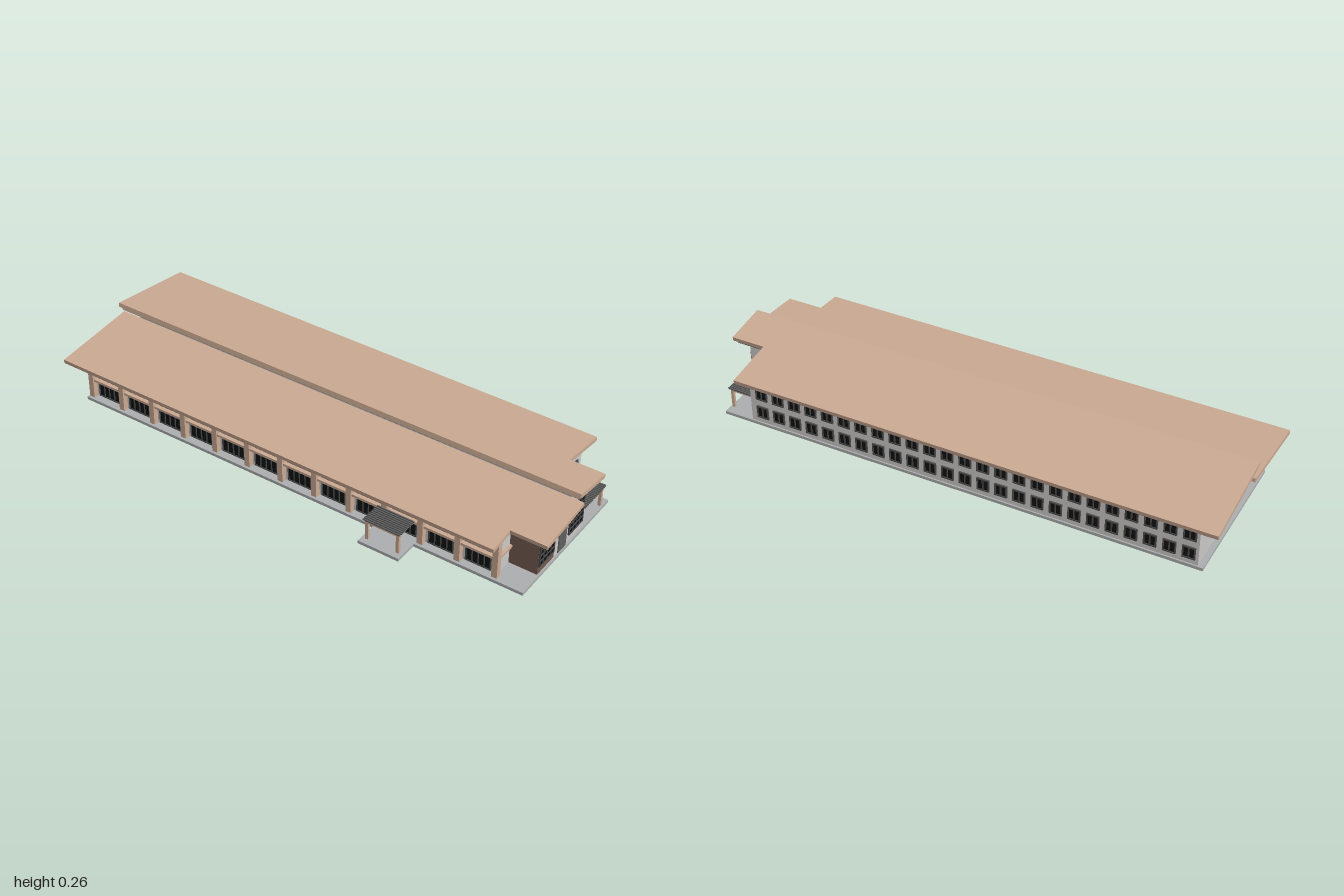
import * as THREE from 'three';

const mat = (name, color) => {
  const m = new THREE.MeshStandardMaterial({ color });
  m.name = name;
  return m;
};

export function createModel() {
  const root = new THREE.Group();
  root.name = 'longBuilding';
  const tan = mat('tan', 0xcbaa93);
  const wall = mat('paleGreyWall', 0xcccac8);
  const brown = mat('brown', 0x755a50);
  const dark = mat('darkGrey', 0x606060);
  const stone = mat('stoneGrey', 0xacaeaf);
  const glass = mat('blackGlass', 0x111213);
  const frameMat = mat('frameGrey', 0x4c4c4c);

  const add = (name, geo, m, parent = root) => {
    const mesh = new THREE.Mesh(geo, m);
    mesh.name = name;
    parent.add(mesh);
    return mesh;
  };
  // box given by its minimum and maximum on each axis
  const box = (name, m, x0, x1, y0, y1, z0, z1, parent = root) => {
    const b = add(name, new THREE.BoxGeometry(x1 - x0, y1 - y0, z1 - z0), m, parent);
    b.position.set((x0 + x1) / 2, (y0 + y1) / 2, (z0 + z1) / 2);
    return b;
  };
  // front-facing outline extruded from z0 to z1
  const prism = (name, m, pts, z0, z1) => {
    const shape = new THREE.Shape(pts.map(p => new THREE.Vector2(p[0], p[1])));
    const g = new THREE.ExtrudeGeometry(shape, { depth: z1 - z0, bevelEnabled: false });
    g.translate(0, 0, z0);
    return add(name, g, m);
  };

  // undersides of the two roofs
  const leftTop = x => 0.187 + 0.084 * (x - 0.018);
  const rightTop = x => 0.233 - 0.125 * (x - 0.008);
  const walled = (name, m, x0, x1, z0, z1, top) =>
    prism(name, m, [[x0, 0.012], [x1, 0.012], [x1, top(x1)], [x0, top(x0)]], z0, z1);

  // plinth and side porch floor
  box('plinth', stone, -0.275, 0.314, 0, 0.012, -0.94, 0.957);
  box('porchFloor', stone, -0.37, -0.275, 0, 0.012, 0.365, 0.53);

  // main walls and front blocks
  walled('leftWing', wall, -0.243, 0.03, -0.92, 0.84, leftTop);
  walled('rightWing', wall, 0.03, 0.308, -0.92, 0.84, rightTop);
  walled('brownFrontBlock', brown, -0.17, -0.06, 0.84, 0.95, leftTop);
  walled('entranceBlock', wall, -0.06, 0.03, 0.84, 0.95, leftTop);
  walled('entrancePanel', dark, -0.035, 0.018, 0.95, 0.953, leftTop);
  walled('rightFrontBlock', wall, 0.03, 0.135, 0.84, 0.95, rightTop);

  // sloping slab, its top edge running from (x0, y0) to (x1, y1)
  const slab = (name, m, x0, y0, x1, y1, t, z0, z1) => {
    const len = Math.hypot(x1 - x0, y1 - y0);
    const nx = (y1 - y0) / len * t, ny = -(x1 - x0) / len * t;
    prism(name, m, [[x0, y0], [x0 + nx, y0 + ny], [x1 + nx, y1 + ny], [x1, y1]], z0, z1);
  };
  // layered roof: cap, inset fascia and grey soffit, with a narrower front part
  const roof = (name, layers) => {
    for (const [part, m, x0, y0, x1, y1, t, inset, notch, cutZ, leftCut] of layers) {
      const yN = y0 + (y1 - y0) * (notch - x0) / (x1 - x0);
      slab(name + part, m, x0, y0, x1, y1, t, -1 + inset, cutZ - inset);
      if (leftCut) slab(name + part + 'Front', m, notch, yN, x1, y1, t, cutZ - inset, 1 - inset);
      else slab(name + part + 'Front', m, x0, y0, notch, yN, t, cutZ - inset, 1 - inset);
    }
  };
  roof('rightRoof', [
    ['Cap', tan, 0.002, 0.264, 0.367, 0.215, 0.016, 0, 0.17, 0.865, false],
    ['Fascia', tan, 0.009, 0.247, 0.354, 0.201, 0.011, 0.012, 0.158, 0.865, false],
    ['Soffit', dark, 0.009, 0.236, 0.353, 0.190, 0.002, 0.0125, 0.158, 0.865, false],
  ]);
  roof('leftRoof', [
    ['Cap', tan, -0.318, 0.181, 0.029, 0.212, 0.0155, 0, -0.213, 0.86, true],
    ['Fascia', tan, -0.306, 0.1665, 0.018, 0.1955, 0.0065, 0.012, -0.201, 0.86, true],
    ['Soffit', dark, -0.3055, 0.160, 0.018, 0.189, 0.002, 0.0125, -0.201, 0.86, true],
  ]);

  // window: a frame with pane openings over a glass sheet, facing local +z
  const rect = (P, x, y, w, h) => {
    const p = new P();
    p.moveTo(x, y).lineTo(x + w, y).lineTo(x + w, y + h).lineTo(x, y + h).closePath();
    return p;
  };
  const makeWindow = (name, w, h, cols, rows, bar, x, y, z, turn = 0) => {
    const g = new THREE.Group();
    g.name = name;
    const s = rect(THREE.Shape, -w / 2, -h / 2, w, h);
    const pw = (w - bar * (cols + 1)) / cols, ph = (h - bar * (rows + 1)) / rows;
    for (let i = 0; i < cols; i++)
      for (let j = 0; j < rows; j++)
        s.holes.push(rect(THREE.Path, -w / 2 + bar + i * (pw + bar), -h / 2 + bar + j * (ph + bar), pw, ph));
    add('frame', new THREE.ExtrudeGeometry(s, { depth: 0.006, bevelEnabled: false }), frameMat, g);
    box('glass', glass, -w / 2 + 0.001, w / 2 - 0.001, -h / 2 + 0.001, h / 2 - 0.001, 0, 0.003, g);
    g.position.set(x, y, z);
    g.rotation.y = turn;
    root.add(g);
  };

  // front windows
  makeWindow('leftFrontWindow', 0.1, 0.12, 4, 5, 0.003, -0.118, 0.104, 0.95);
  makeWindow('rightFrontWindow', 0.097, 0.12, 4, 5, 0.003, 0.08, 0.104, 0.95);
  for (const x of [0.171, 0.218, 0.264])
    makeWindow('smallFrontWindow', 0.026, 0.051, 1, 1, 0.003, x, 0.138, 0.84);

  // window rows on the +x side
  for (let i = 0; i < 25; i++)
    for (const y of [0.059, 0.138])
      makeWindow('sideWindow', 0.048, 0.05, 2, 1, 0.005, 0.308, y, 0.79 - i * 0.0698, Math.PI / 2);

  // columns, floor beam and bay windows on the -x side
  const bays = 12, zBack = -0.924, pitch = (0.84 - zBack) / bays;
  for (let i = 0; i <= bays; i++) {
    const z = zBack + i * pitch;
    walled('sideColumn', tan, -0.265, -0.243, z - 0.011, z + 0.011, leftTop);
    if (i === bays) continue;
    for (const y of [0.048, 0.128])
      makeWindow('bayWindow', 0.1, 0.06, 4, 1, 0.004, -0.243, y, z + pitch / 2, -Math.PI / 2);
  }
  box('sideFloorBeam', tan, -0.26, -0.243, 0.083, 0.093, zBack, 0.84);
  box('frontFloorBeam', tan, -0.25, -0.17, 0.083, 0.093, 0.84, 0.85);

  // slatted canopy over the side porch
  for (const z of [0.385, 0.51]) {
    box('porchPost', tan, -0.347, -0.336, 0.012, 0.083, z - 0.006, z + 0.006);
    box('porchBeam', tan, -0.347, -0.243, 0.083, 0.094, z - 0.006, z + 0.006);
  }
  box('porchFrontBeam', tan, -0.347, -0.336, 0.083, 0.094, 0.385, 0.51);
  for (let i = 0; i < 10; i++) {
    const x = -0.352 + i * 0.0095;
    box('porchSlat', dark, x, x + 0.005, 0.094, 0.099, 0.372, 0.523);
  }

  // slatted canopy at the front right corner
  box('canopyPost', tan, 0.267, 0.278, 0.012, 0.083, 0.94, 0.951);
  box('canopyFrontBeam', tan, 0.135, 0.278, 0.083, 0.093, 0.94, 0.951);
  box('canopySideBeam', tan, 0.267, 0.278, 0.083, 0.093, 0.84, 0.94);
  for (let i = 0; i < 16; i++) {
    const x = 0.137 + i * 0.0094;
    box('canopySlat', dark, x, x + 0.006, 0.093, 0.099, 0.84, 0.957);
  }
  return root;
}
